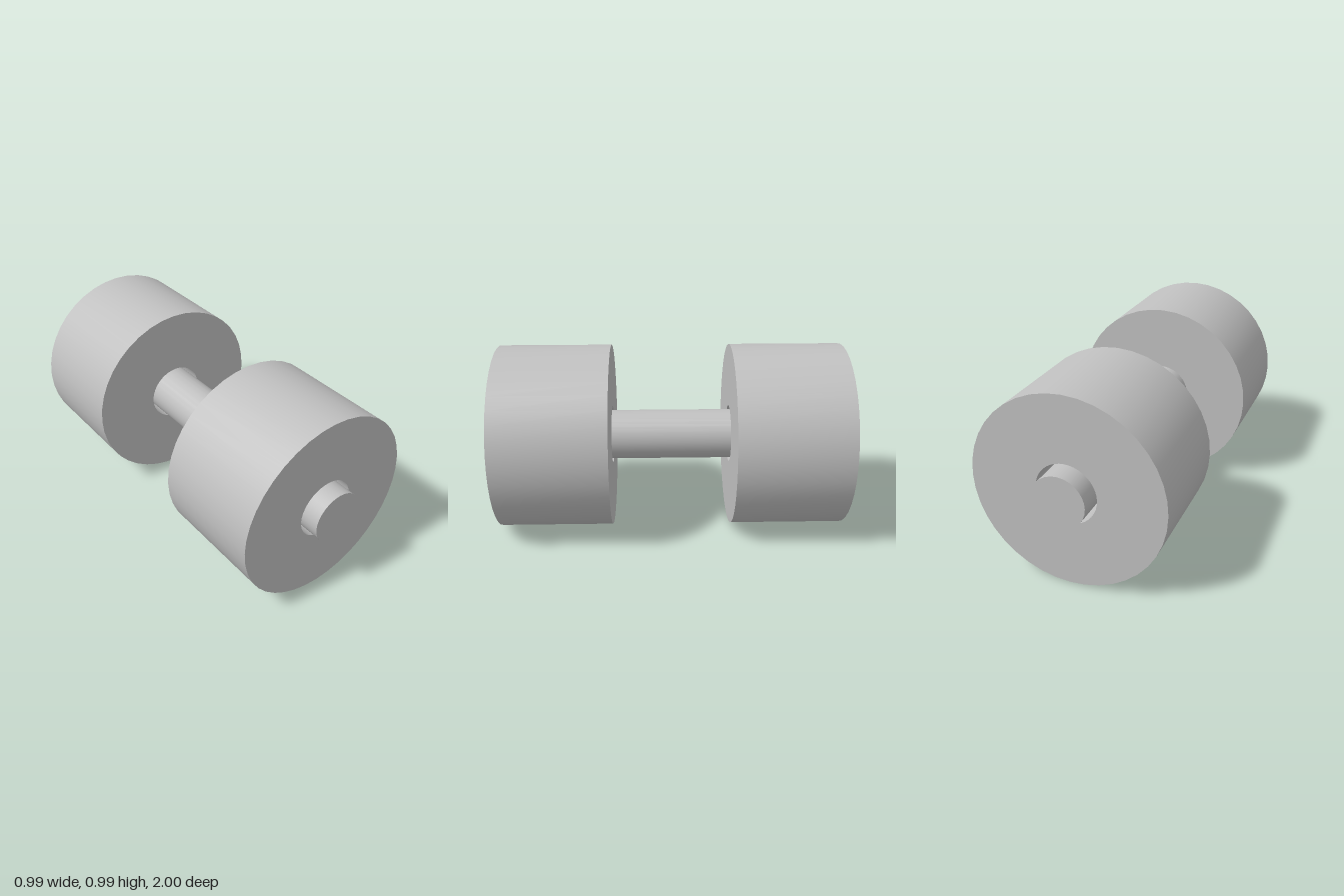
import * as THREE from 'three';
import { toCreasedNormals } from 'three/addons/utils/BufferGeometryUtils.js';

const AXIS_Y = 0.495;
const WHEEL_RADIUS = 0.493;
const HOLE_RADIUS = 0.155;
const ROD_RADIUS = 0.134;
const WHEEL_INNER_Z = 0.32;
const WHEEL_WIDTH = 0.6;

export function createModel() {
  const group = new THREE.Group();
  group.name = 'wheelAxle';

  const metal = new THREE.MeshStandardMaterial({ color: 0xc0c0c0 });
  metal.name = 'light grey';

  // Wheel: thick ring with a clear bore, smooth around and sharp at the rims
  const ring = new THREE.Shape();
  ring.absarc(0, 0, WHEEL_RADIUS, 0, Math.PI * 2, false);
  const bore = new THREE.Path();
  bore.absarc(0, 0, HOLE_RADIUS, 0, Math.PI * 2, true);
  ring.holes.push(bore);
  const wheelGeometry = toCreasedNormals(
    new THREE.ExtrudeGeometry(ring, { depth: WHEEL_WIDTH, bevelEnabled: false, curveSegments: 20 }),
    0.6
  );
  wheelGeometry.translate(0, 0, -WHEEL_WIDTH / 2);

  for (const [name, side] of [['frontWheel', 1], ['backWheel', -1]]) {
    const wheel = new THREE.Mesh(wheelGeometry, metal);
    wheel.name = name;
    wheel.position.set(0, AXIS_Y, side * (WHEEL_INNER_Z + WHEEL_WIDTH / 2));
    group.add(wheel);
  }

  // Rod: runs loosely through both bores and sticks out at each end
  const rodGeometry = new THREE.CylinderGeometry(ROD_RADIUS, ROD_RADIUS, 2, 28);
  rodGeometry.rotateX(Math.PI / 2);
  const rod = new THREE.Mesh(rodGeometry, metal);
  rod.name = 'rod';
  rod.position.y = AXIS_Y;
  group.add(rod);

  return group;
}
